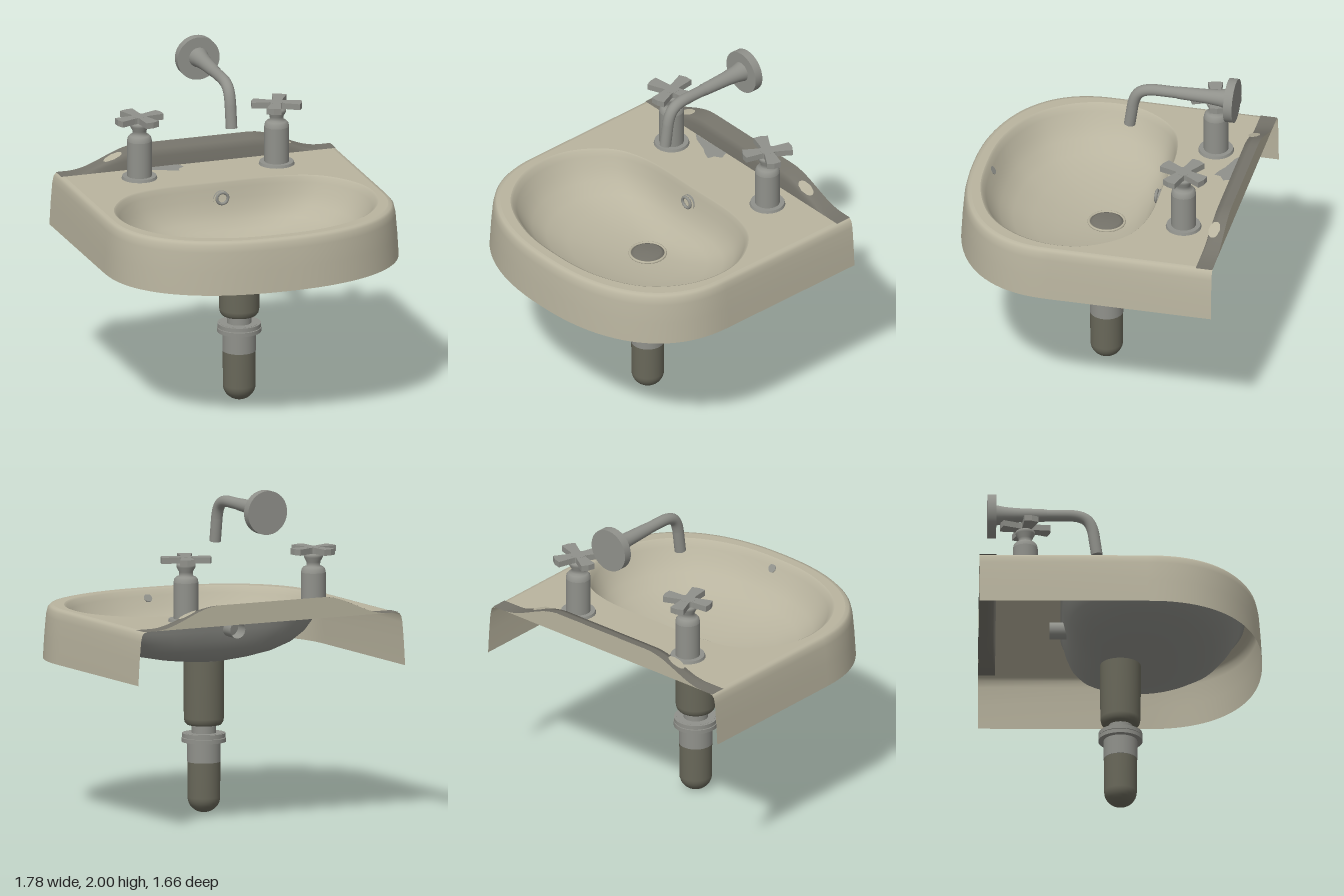
import * as THREE from 'three';

const mat = (name, color, side = THREE.DoubleSide) => {
  const m = new THREE.MeshStandardMaterial({ color, side });
  m.name = name;
  return m;
};

// Skin a grid of points: rows of equal length, optionally closed around
function loft(rows, closed = false) {
  const n = rows[0].length, index = [];
  for (let i = 0; i < rows.length - 1; i++) {
    for (let j = 0; j < (closed ? n : n - 1); j++) {
      const k = (j + 1) % n, a = i * n + j, b = i * n + k, c = a + n, d = b + n;
      index.push(a, b, c, b, d, c);
    }
  }
  const g = new THREE.BufferGeometry().setFromPoints(rows.flat());
  g.setIndex(index);
  g.computeVertexNormals();
  return g;
}

// Turned part from [radius, height] pairs
function turned(profile, sides = 32) {
  return new THREE.LatheGeometry(profile.map(([r, y]) => new THREE.Vector2(r, y)), sides);
}

// Outer plan: straight sides running into a full rounded front
function plan(inset) {
  const a = 0.89 - inset, b = 0.68 - inset, pts = [[-a, -0.83]];
  for (let i = 0; i <= 48; i++) {
    const t = Math.PI * (1 - i / 48), c = Math.cos(t), s = Math.max(0, Math.sin(t));
    pts.push([Math.sign(c) * a * Math.abs(c) ** (2 / 2.3), 0.15 + b * s ** (2 / 2.3)]);
  }
  pts.push([a, -0.83]);
  return pts;
}

// Evenly spaced numbers from a to b
const steps = (a, b, n) => Array.from({ length: n + 1 }, (_, i) => a + (b - a) * i / n);

export function createModel() {
  const model = new THREE.Group();
  const ceramic = mat('ceramic', 0xb9b49f);
  const shade = mat('dark ceramic', 0x75736a);
  const metal = mat('metal', 0x90918b);
  const pipe = mat('dark pipe', 0x69685a);
  const add = (name, geometry, material, parent = model) => {
    const m = new THREE.Mesh(geometry, material);
    m.name = name;
    parent.add(m);
    return m;
  };
  const top = 1.23;

  // Outer apron, open at the back and below
  const wall = [[0, 0.913], [0.008, 1.05], [0.018, 1.17], [0.027, 1.21], [0.04, 1.225], [0.06, top]];
  add('apron', loft(wall.map(([inset, y]) => plan(inset).map(([x, z]) => new THREE.Vector3(x, y, z)))), ceramic);

  // Bowl rim, from the front round the left side to the back, then mirrored
  const half = [[0, 0.72], [0.3, 0.69], [0.58, 0.56], [0.74, 0.35], [0.79, 0.12], [0.75, -0.07],
    [0.6, -0.26], [0.4, -0.335], [0, -0.345]];
  const loop = [...half, ...half.slice(1, -1).reverse().map(([x, z]) => [-x, z])];
  const rim = new THREE.CatmullRomCurve3(loop.map(([x, z]) => new THREE.Vector3(x, 0, z)), true)
    .getPoints(96).slice(0, 96);

  // Flat deck around the bowl
  const outline = plan(0.06);
  outline[0][1] = outline[outline.length - 1][1] = -0.73;
  const deck = new THREE.Shape(outline.map(([x, z]) => new THREE.Vector2(x, -z)));
  deck.holes.push(new THREE.Path(rim.map(p => new THREE.Vector2(p.x, -p.z))));
  add('deck', new THREE.ShapeGeometry(deck).rotateX(-Math.PI / 2).translate(0, top, 0), ceramic);

  // Grey patch on the deck in front of the upstand
  const patch = new THREE.Shape([[-0.4, 0.725], [-0.35, 0.69], [-0.25, 0.655], [-0.21, 0.63], [-0.16, 0.61],
    [-0.15, 0.65], [-0.11, 0.675], [-0.13, 0.728]].map(([x, y]) => new THREE.Vector2(x, y)));
  add('deckPatch', new THREE.ShapeGeometry(patch).rotateX(-Math.PI / 2).translate(0, top + 0.003, 0), metal);

  // Bowl: the rim shrinks to the round drain opening; a grey skin covers the underside
  const bowl = [[0, top], [0.02, 1.222], [0.05, 1.19], [0.1, 1.13], [0.18, 1.065], [0.3, 1.01],
    [0.48, 0.965], [0.7, 0.935], [0.88, 0.92], [1, 0.915]];
  const bowlSkin = (grow, drop) => loft(bowl.map(([t, y]) => rim.map(p => {
    const d = Math.hypot(p.x, p.z);
    return new THREE.Vector3(p.x, 0, p.z)
      .lerp(new THREE.Vector3(p.x / d * 0.1, 0, p.z / d * 0.1), t)
      .multiplyScalar(grow).setY(y - drop);
  })), true);
  add('bowl', bowlSkin(1, 0), ceramic);
  add('bowlUnderside', bowlSkin(1.014, 0.012), metal);

  // Arched upstand along the back
  const section = [[-0.73, 0], [-0.735, 0.5], [-0.745, 0.85], [-0.78, 0.93], [-0.83, 1]];
  const upstand = (x, z, k, lift = 0) => {
    const u = THREE.MathUtils.clamp((Math.abs(x) - 0.34) / 0.44, 0, 1);
    return new THREE.Vector3(x, top + lift + k * 0.124 * (0.5 + 0.5 * Math.cos(Math.PI * u)), z);
  };
  add('upstand', loft(section.map(([z, k]) => steps(-0.85, 0.85, 48).map(x => upstand(x, z, k)))), shade);
  add('upstandBack', loft([1, 0].map(k => steps(-0.78, 0.78, 48).map(x => upstand(x, -0.829, k)))), ceramic);

  // Pale oval marks on the upstand
  for (const c of [-0.52, 0.53]) {
    add('upstandMark', loft(steps(-1, 1, 8).map(v => {
      const w = 0.055 * Math.sqrt(1 - v * v), z = -0.768 - 0.035 * v;
      return steps(c - w, c + w, 6).map(x => upstand(x, z, 0.93 + (-0.78 - z) * 1.4, 0.005));
    })), ceramic);
  }

  // Drain and overflow fittings
  add('drainPlug', turned([[0.1, 0.9], [0.1, 0.92], [0.08, 0.93], [0, 0.932]]), shade);
  add('drainRing', new THREE.TorusGeometry(0.105, 0.008, 8, 40).rotateX(Math.PI / 2).translate(0, 0.92, 0), ceramic);
  add('overflowRing', new THREE.TorusGeometry(0.034, 0.009, 10, 28).translate(0, 1.14, -0.302), metal);
  add('overflowTube', new THREE.CylinderGeometry(0.05, 0.05, 0.1, 24, 1, true).rotateX(Math.PI / 2)
    .translate(0, 1.13, -0.365), metal);
  const dot = add('frontDot', new THREE.CylinderGeometry(0.026, 0.026, 0.006, 20), metal);
  dot.position.set(0, 1.178, 0.683);
  dot.rotation.x = -0.95;

  // Waste pipe and trap
  add('wastePipe', turned([[0.07, 0.515], [0.1, 0.52], [0.113, 0.535], [0.118, 0.56], [0.12, 0.905]]), pipe);
  add('trapNeck', new THREE.CylinderGeometry(0.072, 0.072, 0.07, 32).translate(0, 0.495, 0), metal);
  for (const [r, y, h] of [[0.128, 0.458, 0.024], [0.115, 0.446, 0.05], [0.13, 0.43, 0.024]]) {
    add('trapFlange', new THREE.CylinderGeometry(r, r, h, 36).translate(0, y, 0), metal);
  }
  add('trapCollar', new THREE.CylinderGeometry(0.099, 0.099, 0.13, 32).translate(0, 0.365, 0), metal);
  const dome = steps(0, Math.PI / 2, 8).map(t => [0.096 * Math.sin(t), 0.09 * (1 - Math.cos(t))]);
  add('trapCup', turned([...dome, [0.097, 0.3]]), pipe);

  // Wall spout
  const spout = new THREE.Group();
  spout.name = 'spout';
  model.add(spout);
  add('wallPlate', new THREE.CylinderGeometry(0.13, 0.13, 0.052, 48).rotateX(Math.PI / 2)
    .translate(0, 1.87, -0.754), metal, spout);
  add('spoutFlare', turned([[0.06, 0], [0.05, 0.05], [0.043, 0.12], [0.036, 0.3]]).rotateX(Math.PI / 2)
    .translate(0, 1.877, -0.73), metal, spout);
  const path = new THREE.CurvePath();
  const v = (y, z) => new THREE.Vector3(0, y, z);
  path.add(new THREE.LineCurve3(v(1.877, -0.5), v(1.877, -0.32)));
  path.add(new THREE.CubicBezierCurve3(v(1.877, -0.32), v(1.877, -0.2), v(1.84, -0.175), v(1.76, -0.158)));
  path.add(new THREE.LineCurve3(v(1.76, -0.158), v(1.622, -0.138)));
  add('spoutTube', new THREE.TubeGeometry(path, 48, 0.034, 20), metal, spout);
  const tip = add('spoutTip', new THREE.CircleGeometry(0.034, 20), metal, spout);
  tip.position.set(0, 1.623, -0.138);
  tip.rotation.x = Math.PI / 2 - 0.15;

  // Cross-handle taps
  const arm = new THREE.Shape([[0, -0.028], [0.05, -0.03], [0.142, -0.043], [0.15, 0], [0.142, 0.043],
    [0.05, 0.03], [0, 0.028]].map(([x, y]) => new THREE.Vector2(x, y)));
  const armGeo = new THREE.ExtrudeGeometry(arm, { depth: 0.036, bevelEnabled: false }).rotateX(-Math.PI / 2);
  for (const [side, x, turn] of [['right', -0.425, 0.25], ['left', 0.425, -0.44]]) {
    const tap = new THREE.Group();
    tap.name = side + 'Tap';
    tap.position.set(x, 0, -0.56);
    model.add(tap);
    add('tapBase', new THREE.CylinderGeometry(0.1, 0.105, 0.016, 36).translate(0, top + 0.01, 0), metal, tap);
    add('tapBody', new THREE.CylinderGeometry(0.073, 0.073, 0.225, 32).translate(0, 1.35, 0), metal, tap);
    add('tapShoulder', turned([[0.073, 1.462], [0.069, 1.482], [0.058, 1.495], [0.04, 1.502], [0.041, 1.525],
      [0.056, 1.553], [0.056, 1.57], [0.04, 1.58]]), metal, tap);
    const handle = new THREE.Group();
    handle.name = 'crossHandle';
    handle.position.y = 1.577;
    handle.rotation.y = turn;
    tap.add(handle);
    for (let i = 0; i < 4; i++) add('handleArm', armGeo, metal, handle).rotation.y = i * Math.PI / 2;
    add('handleHub', new THREE.CylinderGeometry(0.045, 0.045, 0.038, 24).translate(0, 0.018, 0), metal, handle);
  }
  return model;
}
